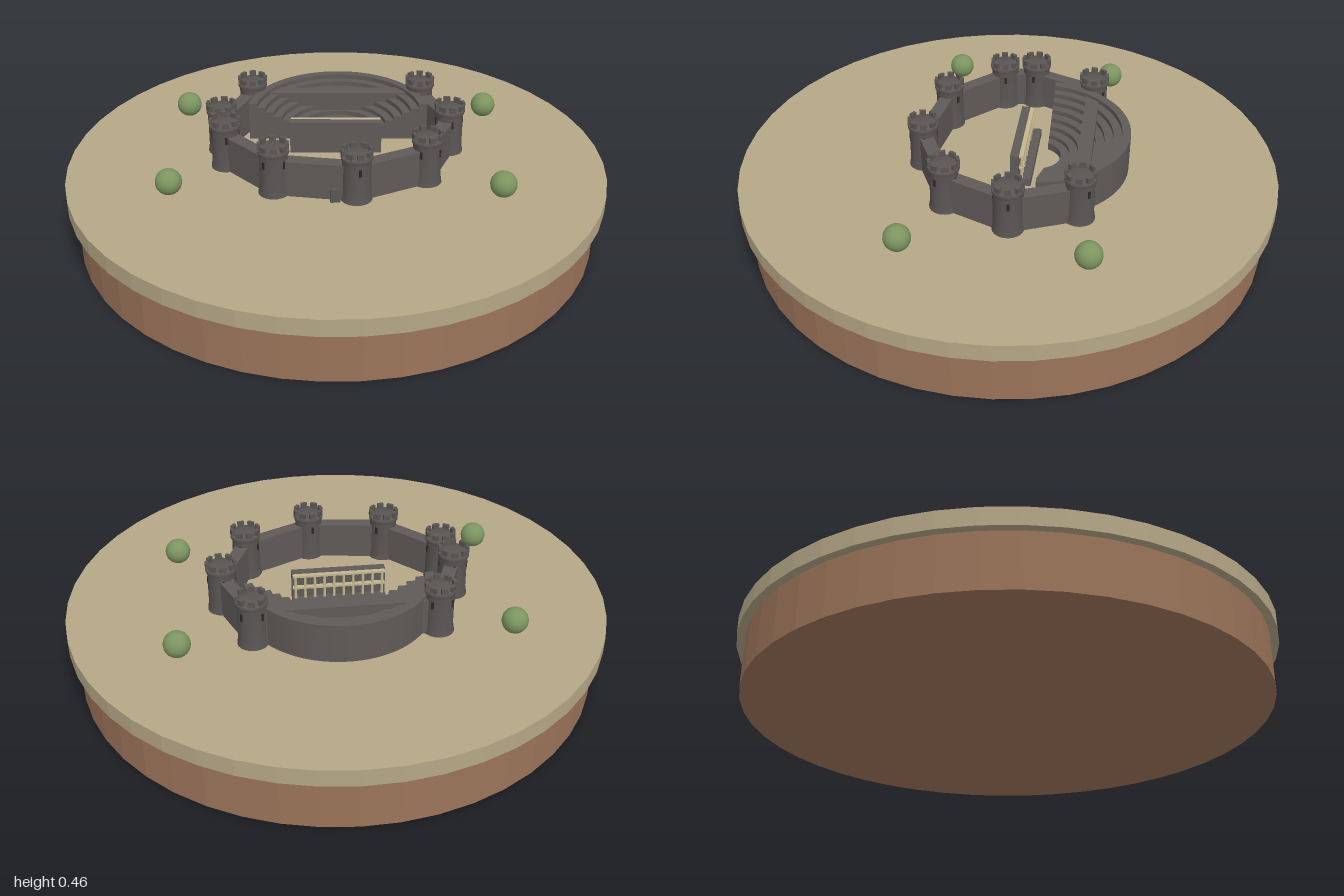
import * as THREE from 'three';

const GROUND = 0.262;
const mat = (name, color, extra = {}) => Object.assign(new THREE.MeshStandardMaterial({ color, ...extra }), { name });

export function createModel() {
  const sand = mat('sand', 0xb5a786, { flatShading: true });
  const earth = mat('earth', 0x9b745a, { flatShading: true });
  const stone = mat('stone', 0x5e5a58);
  const towerStone = mat('tower stone', 0x595654);
  const dark = mat('dark opening', 0x2b2928);
  const marble = mat('pale marble', 0xc4b68e);
  const leaf = mat('leaf green', 0x7b9560);

  const model = new THREE.Group();
  model.name = 'fortifiedTheatre';
  const add = (parent, name, geo, material, x = 0, y = 0, z = 0, ry = 0) => {
    const m = new THREE.Mesh(geo, material);
    m.name = name;
    m.position.set(x, y, z);
    m.rotation.y = ry;
    parent.add(m);
    return m;
  };
  const box = (w, h, d) => new THREE.BoxGeometry(w, h, d);

  // Round base with an overhanging ground slab
  add(model, 'earthBase', new THREE.CylinderGeometry(0.97, 0.97, 0.2, 48), earth, 0, 0.1, 0);
  add(model, 'groundSlab', new THREE.CylinderGeometry(1, 1, GROUND - 0.198, 48), sand, 0, (GROUND + 0.198) / 2, 0);

  // Towers: flared foot, parapet and merlons, with arrow slits
  const towers = [
    [-0.21, -0.39], [-0.385, -0.2], [-0.405, -0.075], [-0.295, 0.17],
    [-0.035, 0.31], [0.245, 0.28], [0.42, 0.09], [0.41, -0.165],
  ];
  const profile = [[0.057, 0], [0.052, 0.03], [0.051, 0.15], [0.057, 0.162], [0.057, 0.178], [0, 0.178]]
    .map(([r, y]) => new THREE.Vector2(r, y));
  const bodyGeo = new THREE.LatheGeometry(profile, 20);
  const merlonGeo = box(0.024, 0.022, 0.012);
  const slitGeo = box(0.01, 0.028, 0.008);
  towers.forEach(([x, z]) => {
    const tower = new THREE.Group();
    tower.name = 'tower';
    tower.position.set(x, GROUND, z);
    tower.rotation.y = Math.atan2(x, z);
    model.add(tower);
    add(tower, 'towerBody', bodyGeo, towerStone);
    for (let i = 0; i < 8; i++) {
      const a = (i / 8) * Math.PI * 2;
      add(tower, 'merlon', merlonGeo, towerStone, Math.sin(a) * 0.05, 0.187, Math.cos(a) * 0.05, a);
      if (i % 2 === 0) add(tower, 'arrowSlit', slitGeo, dark, Math.sin(a) * 0.0485, 0.125, Math.cos(a) * 0.0485, a);
    }
  });

  // Curtain walls joining neighbouring towers all the way round
  towers.forEach(([x, z], i) => {
    const [x2, z2] = towers[(i + 1) % towers.length];
    const dx = x2 - x, dz = z2 - z;
    add(model, 'curtainWall', box(Math.hypot(dx, dz), 0.137, 0.05), stone,
      (x + x2) / 2, GROUND + 0.0685, (z + z2) / 2, Math.atan2(-dz, dx));
  });

  // Small open gate leaf outside the front wall
  add(model, 'gateLeaf', box(0.036, 0.052, 0.008), towerStone, -0.115, GROUND + 0.026, 0.312, -0.2);

  // Theatre: stepped seat rows cut off by a straight front
  const theatre = new THREE.Group();
  theatre.name = 'theatre';
  theatre.position.set(0.043, GROUND, -0.1);
  theatre.rotation.y = -0.35;
  model.add(theatre);
  const rows = 8, inner = 0.09, outer = 0.345, cut = 0.035;
  const step = (outer - inner) / rows;
  for (let i = 0; i < rows; i++) {
    const r0 = inner + i * step, r1 = r0 + step;
    const a0 = Math.asin(cut / r0), a1 = Math.asin(cut / r1);
    const s = new THREE.Shape();
    s.absarc(0, 0, r1, a1, Math.PI - a1, false);
    s.absarc(0, 0, r0, Math.PI - a0, a0, true);
    s.closePath();
    const depth = 0.028 + (0.12 * i) / (rows - 1);
    const geo = new THREE.ExtrudeGeometry(s, { depth, bevelEnabled: false, curveSegments: 28 });
    geo.rotateX(-Math.PI / 2);
    add(theatre, 'seatRow', geo, stone);
  }

  // Stage building: back wall, podium and two tiers of columns facing the seats
  const stage = new THREE.Group();
  stage.name = 'stage';
  stage.position.set(-0.008, 0, 0);
  theatre.add(stage);
  add(stage, 'stageWall', box(0.345, 0.125, 0.032), stone, 0, 0.0625, 0.062);
  add(stage, 'stagePodium', box(0.345, 0.028, 0.044), stone, 0, 0.014, 0.024);
  const columnGeo = new THREE.CylinderGeometry(0.0045, 0.0055, 0.04, 8);
  for (let tier = 0; tier < 2; tier++) {
    const y = 0.028 + tier * 0.048;
    for (let i = 0; i < 10; i++) add(stage, 'column', columnGeo, marble, -0.16 + (i * 0.32) / 9, y + 0.02, 0.037);
    add(stage, 'entablature', box(0.34, 0.008, 0.016), marble, 0, y + 0.044, 0.038);
  }

  // Round bushes
  const bushGeo = new THREE.SphereGeometry(0.048, 20, 14);
  [[-0.44, -0.53], [-0.65, 0.06], [0.675, -0.125], [0.455, 0.475]]
    .forEach(([x, z]) => add(model, 'bush', bushGeo, leaf, x, 0.312, z));

  return model;
}
